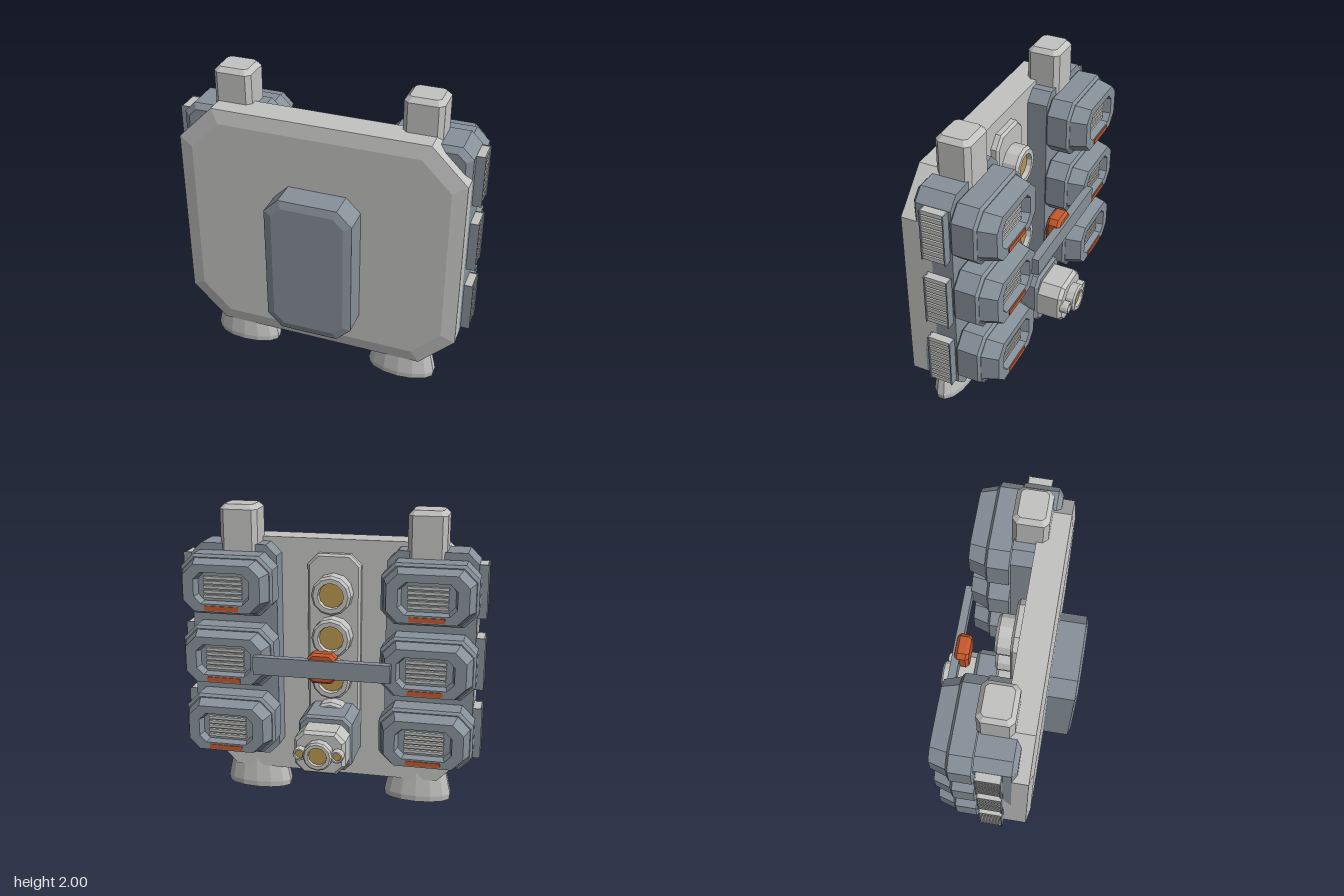
import * as THREE from 'three';

const mat = (name, color) => {
  const m = new THREE.MeshStandardMaterial({ color });
  m.name = name;
  return m;
};

// Flat-faced copy of a geometry
function flat(geo) {
  const g = geo.index ? geo.toNonIndexed() : geo;
  g.computeVertexNormals();
  return g;
}

// Skins chamfered rectangles [width, height, chamfer, z] along z and caps both ends
function loft(sections) {
  const pos = [];
  const rings = sections.map(([w, h, c, z]) => {
    const x = w / 2, y = h / 2;
    return [[x, -y + c], [x, y - c], [x - c, y], [-x + c, y], [-x, y - c], [-x, -y + c], [-x + c, -y], [x - c, -y]]
      .map(([a, b]) => [a, b, z]);
  });
  const tri = (a, b, c) => pos.push(...a, ...b, ...c);
  for (let r = 0; r < rings.length - 1; r++) {
    const p = rings[r], q = rings[r + 1];
    for (let i = 0; i < 8; i++) {
      const j = (i + 1) % 8;
      tri(p[i], p[j], q[j]);
      tri(p[i], q[j], q[i]);
    }
  }
  const s = rings[0], e = rings[rings.length - 1];
  for (let i = 1; i < 7; i++) {
    tri(s[0], s[i + 1], s[i]);
    tri(e[0], e[i], e[i + 1]);
  }
  const g = new THREE.BufferGeometry();
  g.setAttribute('position', new THREE.Float32BufferAttribute(pos, 3));
  g.computeVertexNormals();
  return g;
}

const lathe = (pts, n) => flat(new THREE.LatheGeometry(pts.map(p => new THREE.Vector2(...p)), n));

export function createModel() {
  const light = mat('light grey', 0xc3c3c2);
  const blue = mat('blue grey', 0x87919a);
  const gold = mat('gold', 0xb8954f);
  const orange = mat('orange', 0xc4592c);
  const teal = mat('teal', 0x1f8799);

  const model = new THREE.Group();
  model.name = 'backpack';
  const add = (parent, name, geo, material, x = 0, y = 0, z = 0) => {
    const m = new THREE.Mesh(geo, material);
    m.name = name;
    m.position.set(x, y, z);
    parent.add(m);
    return m;
  };
  const box = (w, h, d) => new THREE.BoxGeometry(w, h, d);

  // Main plate and front block
  add(model, 'mainPlate', loft([[1.85, 1.62, 0.23, 0.08], [1.85, 1.62, 0.23, 0.265], [1.67, 1.44, 0.19, 0.285]]), light, 0, 0.97);
  add(model, 'frontBlock', loft([[0.57, 0.98, 0.095, 0.27], [0.57, 0.98, 0.095, 0.455], [0.47, 0.88, 0.065, 0.47]]), blue, 0, 0.85);

  // Everything behind the plate faces backwards
  const rear = new THREE.Group();
  rear.name = 'rear';
  rear.rotation.y = Math.PI;
  model.add(rear);

  const columnGeo = loft([[0.49, 1.36, 0.05, -0.195], [0.57, 1.43, 0.07, -0.165], [0.57, 1.43, 0.07, 0.055]]);
  const pegGeo = loft([[0.245, 0.22, 0.03, 1.62], [0.245, 0.22, 0.03, 1.97], [0.19, 0.165, 0.02, 2]]).rotateX(-Math.PI / 2);
  const podBase = loft([[0.56, 0.345, 0.075, 0.045], [0.6, 0.385, 0.085, 0.065], [0.6, 0.385, 0.085, 0.2], [0.57, 0.35, 0.08, 0.215]]);
  const podFrame = loft([[0.565, 0.34, 0.08, 0.21], [0.5, 0.3, 0.07, 0.32], [0.36, 0.2, 0.045, 0.32], [0.33, 0.18, 0.04, 0.265]]);
  const footGeo = lathe([[0.15, 0.09], [0.18, 0], [0.225, 0], [0.232, 0.04], [0.195, 0.21], [0, 0.21]], 14);
  footGeo.scale(1, 1, 0.46);
  footGeo.computeVertexNormals();
  const glowGeo = new THREE.CircleGeometry(0.17, 14).rotateX(Math.PI / 2).scale(1, 1, 0.46);

  for (const s of [-1, 1]) {
    add(rear, 'sideColumn', columnGeo, blue, s * 0.64, 1.035);
    add(model, 'topPeg', pegGeo, light, s * 0.603, 0, 0.04);

    // Nozzle feet
    add(model, 'foot', footGeo, light, s * 0.56, 0, 0.17);
    add(model, 'footGlow', glowGeo, teal, s * 0.56, 0.06, 0.17);

    for (const y of [0.578, 1.045, 1.513]) {
      // Pod with recessed grille
      const pod = new THREE.Group();
      pod.name = 'pod';
      pod.position.set(s * 0.643, y, 0);
      rear.add(pod);
      add(pod, 'podBase', podBase, blue);
      add(pod, 'podFrame', podFrame, blue);
      for (let i = -2; i <= 2; i++) add(pod, 'grilleBar', box(0.25, 0.018, 0.02), light, 0, i * 0.03, 0.277);
      add(pod, 'podStripe', box(0.22, 0.03, 0.008), orange, 0, -0.126, 0.322);

      // Ribbed side radiator
      const rad = new THREE.Group();
      rad.name = 'radiator';
      rad.position.set(s * 0.95, y - 0.003, -0.037);
      rear.add(rad);
      for (const z of [-0.073, 0.073]) add(rad, 'radiatorCheek', box(0.066, 0.34, 0.008), blue, 0, 0, z);
      for (let i = -4; i <= 4; i++) add(rad, 'radiatorRib', box(0.05, 0.027, 0.138), light, 0, i * 0.0385, 0);
    }
  }

  // Spine strip with a row of ports
  const ringProfile = [[0.13, 0], [0.13, 0.09], [0.115, 0.108], [0.085, 0.108], [0.08, 0.07]];
  const ringGeo = lathe(ringProfile, 12).rotateX(Math.PI / 2);
  const discGeo = new THREE.CircleGeometry(0.085, 12);
  const port = (name, x, y, z, k, depth = 1) => {
    const g = new THREE.Group();
    g.name = name;
    g.position.set(x, y, z);
    g.scale.set(k, k, depth);
    rear.add(g);
    add(g, name + 'Ring', ringGeo, light);
    add(g, name + 'Disc', discGeo, gold, 0, 0, 0.076);
  };
  add(rear, 'spineStrip', loft([[0.35, 1.3, 0.07, -0.1], [0.35, 1.3, 0.07, -0.045], [0.32, 1.27, 0.06, -0.03]]), light, 0, 1.04);
  for (let i = 0; i < 4; i++) port('port', 0, 1.44 - i * 0.283, -0.032, 1);

  // Lower sensor housing with one large and two small lenses
  add(rear, 'sensorBody', loft([[0.35, 0.37, 0.05, -0.08], [0.35, 0.37, 0.05, 0.225], [0.32, 0.34, 0.045, 0.245]]), blue, 0, 0.505);
  add(rear, 'sensorHead', loft([[0.33, 0.285, 0.06, 0.24], [0.33, 0.285, 0.06, 0.385], [0.29, 0.25, 0.05, 0.41]]), light, 0, 0.503);
  port('lens', 0, 0.505, 0.4, 0.73, 0.68);
  for (const s of [-1, 1]) port('smallLens', s * 0.12, 0.505, 0.4, 0.33, 0.5);

  // Cross bar with buckle
  add(rear, 'crossBar', box(0.87, 0.115, 0.052), blue, 0, 1.043, 0.339);
  add(rear, 'buckle', loft([[0.15, 0.17, 0.025, 0.255], [0.18, 0.195, 0.03, 0.275], [0.18, 0.195, 0.03, 0.33], [0.15, 0.165, 0.025, 0.348]]), orange, 0, 1.043);

  return model;
}
